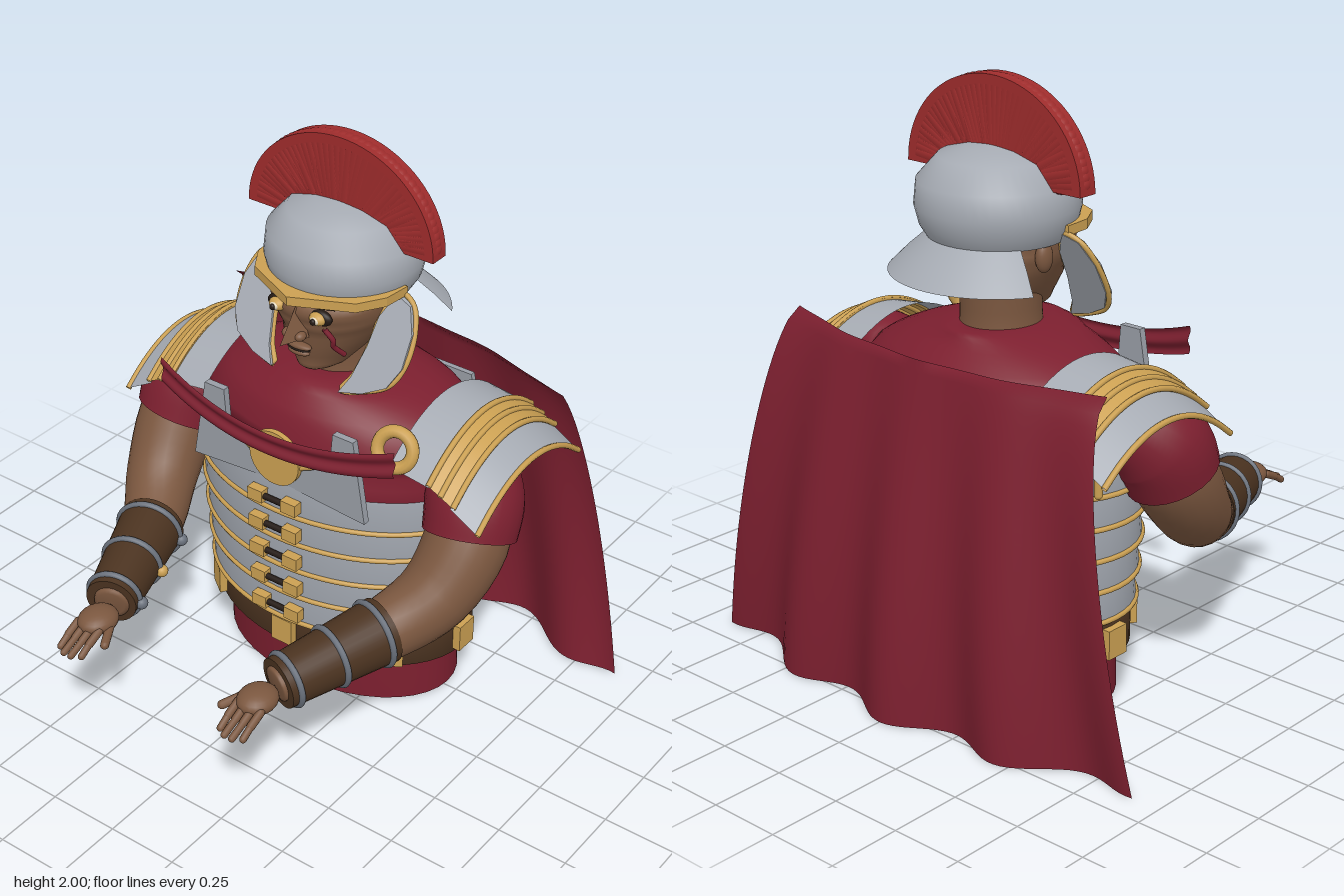
import * as THREE from 'three';
import { ParametricGeometry } from 'three/addons/geometries/ParametricGeometry.js';

const mat = (name, color, side = THREE.FrontSide) => {
  const m = new THREE.MeshStandardMaterial({ color, side });
  m.name = name;
  return m;
};
const V = (x, y, z) => new THREE.Vector3(x, y, z);

export function createModel() {
  const D = THREE.DoubleSide;
  const silver = mat('silver', 0xa6abb3, D), armour = mat('armourSteel', 0x989da5, D), gold = mat('gold', 0xcba052, D);
  const cloth = mat('cloth', 0x7c1f2f, D), skin = mat('skin', 0x7b573f, D), leather = mat('leather', 0x4b3320, D);
  const steel = mat('steel', 0x6a717c), plume = mat('plume', 0x9e2c2c), dark = mat('dark', 0x241a15), cream = mat('cream', 0xe0d5bd);
  const root = new THREE.Group();
  root.name = 'soldierBust';

  const add = (name, geo, m, parent = root) => {
    const mesh = new THREE.Mesh(geo, m);
    mesh.name = name;
    parent.add(mesh);
    return mesh;
  };
  const box = (name, w, h, d, x, y, z, m, p) => {
    const b = add(name, new THREE.BoxGeometry(w, h, d), m, p);
    b.position.set(x, y, z);
    return b;
  };
  const ball = (name, rx, ry, rz, x, y, z, m, p) => {
    const b = add(name, new THREE.SphereGeometry(1, 20, 14), m, p);
    b.scale.set(rx, ry, rz);
    b.position.set(x, y, z);
    return b;
  };
  const rod = (name, a, b, r, m, p) => {
    const dir = b.clone().sub(a);
    const c = add(name, new THREE.CapsuleGeometry(r, dir.length(), 4, 10), m, p);
    c.position.copy(a).add(b).multiplyScalar(0.5);
    c.quaternion.setFromUnitVectors(V(0, 1, 0), dir.normalize());
    return c;
  };
  const tube = (name, pts, r, m, p, closed = false) =>
    add(name, new THREE.TubeGeometry(new THREE.CatmullRomCurve3(pts, closed), closed ? 64 : 24, r, 8, closed), m, p);
  const sheet = (name, nu, nv, fn, m, p) => add(name, new ParametricGeometry(fn, nu, nv), m, p);
  // Elliptical rings [y, rx, rz, cz] joined into a smooth skin
  const rings = (name, list, m) => {
    const a = new THREE.CatmullRomCurve3(list.map(r => V(r[0], r[1], r[2])), false, 'catmullrom', 0.4);
    const b = new THREE.CatmullRomCurve3(list.map(r => V(r[3], 0, 0)));
    return sheet(name, 40, (list.length - 1) * 3, (u, v, t) => {
      const s = a.getPoint(v), c = b.getPoint(v).x, k = u * Math.PI * 2;
      t.set(s.y * Math.cos(k), s.x, c - s.z * Math.sin(k));
    }, m);
  };
  // Limb of varying radius along points [x, y, z, r]
  const limb = (name, list, m, p) => {
    const path = new THREE.CatmullRomCurve3(list.map(q => V(q[0], q[1], q[2])));
    const rad = new THREE.CatmullRomCurve3(list.map(q => V(q[3], 0, 0)));
    return sheet(name, 24, 24, (u, v, t) => {
      const d = path.getTangent(v).normalize();
      const n = V(1, 0, 0).addScaledVector(d, -d.x).normalize();
      const b = d.clone().cross(n), k = u * Math.PI * 2;
      t.copy(path.getPoint(v)).addScaledVector(n, Math.cos(k) * rad.getPoint(v).x)
        .addScaledVector(b, Math.sin(k) * rad.getPoint(v).x);
    }, m, p);
  };
  const lathe = (name, pts, rx, rz, cz, m, start = 0, len = Math.PI * 2) => {
    const g = new THREE.LatheGeometry(pts.map(q => new THREE.Vector2(q[0], q[1])), 48, start, len);
    g.scale(rx, 1, rz).translate(0, 0, cz);
    return add(name, g, m);
  };
  const plate = (name, pts, depth, m, p) => {
    const s = new THREE.Shape(pts.map(q => new THREE.Vector2(q[0], q[1])));
    return add(name, new THREE.ExtrudeGeometry(s, { depth, bevelEnabled: false }), m, p);
  };
  const oval = (y, rx, rz, cz) => Array.from({ length: 24 }, (_, i) =>
    V(rx * Math.cos(i * Math.PI / 12), y, cz + rz * Math.sin(i * Math.PI / 12)));

  // Tunic and neck
  rings('tunic', [[0, 0.45, 0.3, -0.27], [0.3, 0.44, 0.31, -0.265], [0.6, 0.47, 0.34, -0.26], [0.87, 0.52, 0.36, -0.26],
    [1.0, 0.52, 0.35, -0.26], [1.1, 0.45, 0.31, -0.25], [1.17, 0.31, 0.25, -0.24], [1.21, 0.14, 0.2, -0.24],
    [1.2, 0.05, 0.05, -0.24]], cloth);
  rings('neck', [[1.1, 0.15, 0.15, -0.24], [1.22, 0.13, 0.135, -0.24], [1.34, 0.13, 0.14, -0.24]], skin);

  // Banded body armour with rims and buckles
  for (let i = 0; i < 5; i++) {
    const y0 = 0.32 + i * 0.1125, top = y0 + 0.108, rx = 0.5 + i * 0.011, rz = 0.37 + i * 0.004;
    lathe('armourBand', [[1, y0], [0.98, top], [0.94, top]], rx, rz, -0.26, armour);
    tube('bandRim', oval(y0, rx, rz, -0.26), 0.009, gold, root, true);
    const y = y0 + 0.047, z = -0.26 + rz;
    rod('buckleBar', V(-0.06, y, z + 0.012), V(0.06, y, z + 0.012), 0.011, dark);
    for (const s of [-1, 1]) box('buckle', 0.06, 0.045, 0.034, s * 0.068, y, z + 0.01, gold);
  }

  // Belt with square plates
  lathe('belt', [[0.92, 0.18], [1, 0.18], [1, 0.31], [0.92, 0.31]], 0.495, 0.345, -0.27, leather);
  for (const a of [0, 0.82, 1.57, 2.32, Math.PI, -2.32, -1.57, -0.82]) {
    const b = box('beltPlate', 0.085, 0.1, 0.035, 0.502 * Math.sin(a), 0.245, -0.27 + 0.352 * Math.cos(a), gold);
    b.rotation.y = Math.atan2(Math.sin(a) / 0.5, Math.cos(a) / 0.35);
  }

  // Pendant and scarf across the chest
  const pendant = add('pendant', new THREE.CylinderGeometry(0.1, 0.1, 0.02, 32), gold);
  pendant.rotation.x = Math.PI / 2;
  pendant.position.set(0, 0.98, 0.125);
  sheet('scarf', 36, 16, (u, v, t) => {
    const k = 2 * u - 1, lo = 1.02 + 0.075 * k * k, hi = 1.1 + 0.09 * k * k;
    t.set(0.47 * k, lo + (hi - lo) * v, 0.13 + 0.045 * (1 - k * k) + 0.006 * Math.sin(v * Math.PI * 3));
  }, cloth);
  const brooch = add('brooch', new THREE.TorusGeometry(0.06, 0.022, 10, 28), gold);
  brooch.position.set(0.41, 1.13, 0.04);
  brooch.rotation.set(-0.35, 0.2, 0);

  // Cape bulging backwards with deepening folds
  sheet('cape', 72, 30, (u, v, t) => {
    const k = 2 * u - 1, d = 1 - v, x = k * (0.66 + 0.24 * d);
    const fold = 0.045 * (0.08 + 0.92 * d) * Math.cos(k * 0.9 * Math.PI * 2 / 0.46);
    const wrap = 0.13 + 0.035 * d - 0.07 * Math.sin(Math.PI * Math.sqrt(d));
    t.set(x, 1.17 * v, -0.628 - 0.152 * Math.sin(d * Math.PI / 2) + wrap * k * k - fold);
  }, cloth);

  // Parts of one side, mirrored to the other
  for (const s of [1, -1]) {
    const g = new THREE.Group();
    g.name = s > 0 ? 'leftSide' : 'rightSide';
    g.scale.x = s;
    root.add(g);

    // Breast and back plates
    plate('breastPlate', [[0.01, 0.88], [0.35, 0.855], [0.3, 1.15], [0.22, 1.15], [0.21, 1.025], [0.01, 0.93]], 0.025, armour, g)
      .position.z = 0.09;
    plate('backPlate', [[0.01, 0.86], [0.32, 0.86], [0.28, 1.04], [0.01, 1.04]], 0.02, armour, g).position.z = -0.62;
    rod('neckTrim', V(0.215, 1.03, 0.118), V(0.05, 0.952, 0.118), 0.01, gold, g);
    rod('sideHinge', V(0.535, 0.79, -0.39), V(0.535, 0.96, -0.39), 0.014, gold, g);

    // Arched shoulder strips with raised ribs
    const arch = w => -0.13 * w * w;
    const along = w => -0.28 - 0.305 * w;
    const strip = (name, x0, y0, x1, y1, m) => sheet(name, 3, 24, (u, v, t) => {
      const w = 2 * v - 1;
      t.set(x0 + (x1 - x0) * u, y0 + (y1 - y0) * u + arch(w), along(w));
    }, m, g);
    strip('innerShoulderStrip', 0.38, 1.175, 0.53, 1.155, silver);
    strip('middleShoulderStrip', 0.52, 1.165, 0.625, 1.115, gold);
    strip('outerShoulderStrip', 0.615, 1.11, 0.72, 1.05, silver);
    for (const [x, y] of [[0.53, 1.16], [0.575, 1.138], [0.625, 1.115], [0.72, 1.05]])
      tube('shoulderRib', Array.from({ length: 9 }, (_, i) => V(x, y + arch(i / 4 - 1), along(i / 4 - 1))), 0.01, gold, g);

    // Sleeve and arm
    limb('sleeve', [[0.46, 1.0, -0.26, 0.08], [0.54, 0.97, -0.22, 0.14], [0.59, 0.9, -0.16, 0.163], [0.605, 0.8, -0.115, 0.156]], cloth, g);
    limb('arm', [[0.58, 0.95, -0.2, 0.12], [0.605, 0.78, -0.1, 0.14], [0.575, 0.63, 0.03, 0.125], [0.5, 0.55, 0.17, 0.108],
      [0.43, 0.525, 0.36, 0.085], [0.345, 0.497, 0.575, 0.06], [0.343, 0.496, 0.58, 0.001]], skin, g);

    // Bracer with bands and inner studs
    const a = V(0.485, 0.543, 0.195), b = V(0.35, 0.5, 0.57), axis = b.clone().sub(a).normalize();
    const bracer = new THREE.Group();
    bracer.name = 'bracer';
    bracer.position.copy(a).add(b).multiplyScalar(0.5);
    bracer.quaternion.setFromUnitVectors(V(0, 1, 0), axis);
    g.add(bracer);
    const len = a.distanceTo(b);
    add('bracerLeather', new THREE.CylinderGeometry(0.088, 0.113, len, 28), leather, bracer);
    [-0.42, 0, 0.42].forEach((f, i) => {
      const r = 0.1005 - f * 0.025;
      const ring = add('bracerBand', new THREE.TorusGeometry(r, 0.011, 8, 32), steel, bracer);
      ring.rotation.x = Math.PI / 2;
      ring.position.y = f * len;
      ball('bracerStud', 0.022, 0.022, 0.022, -r - 0.004, f * len, -0.02, i === 1 ? gold : steel, bracer);
    });

    // Hand
    ball('palm', 0.065, 0.04, 0.075, 0.333, 0.487, 0.655, skin, g);
    for (let i = 0; i < 4; i++) {
      const x = 0.29 + i * 0.03, end = i === 0 || i === 3 ? 0.79 : 0.808;
      rod('finger', V(x, 0.485, 0.7), V(x, 0.462, 0.75), 0.014, skin, g);
      rod('fingerTip', V(x, 0.462, 0.75), V(x, 0.437, end), 0.012, skin, g);
    }
    rod('thumb', V(0.285, 0.48, 0.65), V(0.245, 0.465, 0.725), 0.015, skin, g);

    // Eye, brow and ear
    ball('eyeSocket', 0.046, 0.028, 0.02, 0.08, 1.475, -0.006, dark, g);
    ball('eyelid', 0.031, 0.023, 0.03, 0.08, 1.475, 0.002, gold, g);
    ball('eyeball', 0.02, 0.016, 0.026, 0.08, 1.475, 0.012, cream, g);
    ball('pupil', 0.01, 0.011, 0.008, 0.08, 1.475, 0.034, dark, g);
    rod('eyebrow', V(0.035, 1.508, 0.006), V(0.125, 1.514, -0.02), 0.007, dark, g);
    ball('ear', 0.025, 0.05, 0.032, 0.2, 1.45, -0.26, skin, g);

    // Cheek guard leaning back towards the top
    const cheek = [[0.24, 1.525], [0.3, 1.505], [0.335, 1.43], [0.335, 1.33], [0.3, 1.265], [0.22, 1.225], [0.135, 1.205],
      [0.165, 1.26], [0.19, 1.36], [0.2, 1.45]];
    const lean = y => -0.06 - (y - 1.21) * 0.53;
    const guard = plate('cheekGuard', cheek, 0.03, silver, g).geometry;
    const pos = guard.attributes.position;
    for (let i = 0; i < pos.count; i++) pos.setZ(i, pos.getZ(i) + lean(pos.getY(i)));
    guard.computeVertexNormals();
    tube('cheekGuardRim', cheek.map(q => V(q[0], q[1], lean(q[1]) + 0.012)), 0.009, gold, g, true);
  }

  // Head and face
  rings('head', [[1.235, 0.001, 0.001, -0.16], [1.24, 0.07, 0.12, -0.16], [1.28, 0.108, 0.165, -0.19], [1.35, 0.155, 0.195, -0.2],
    [1.43, 0.195, 0.21, -0.2], [1.5, 0.202, 0.21, -0.2], [1.58, 0.2, 0.21, -0.21]], skin);
  const nose = new THREE.ConeGeometry(0.042, 0.13, 4).toNonIndexed();
  const np = nose.attributes.position;
  for (let i = 0; i < np.count; i++) if (np.getY(i) < 0 && np.getZ(i) > 0.01) np.setZ(i, 0.1);
  nose.computeVertexNormals();
  add('nose', nose, skin).position.set(0, 1.455, 0.0);
  for (const s of [-1, 1]) ball('nostril', 0.018, 0.016, 0.022, s * 0.025, 1.4, 0.025, skin);
  ball('upperLip', 0.05, 0.012, 0.02, 0, 1.348, 0, skin);
  ball('mouthLine', 0.045, 0.004, 0.02, 0, 1.337, 0, dark);
  ball('lowerLip', 0.042, 0.013, 0.02, 0, 1.325, -0.002, skin);
  tube('scar', [V(0.095, 1.435, -0.008), V(0.12, 1.395, -0.022), V(0.115, 1.37, -0.03), V(0.13, 1.325, -0.07)], 0.009, cloth);

  // Helmet bowl, neck guard and visor
  lathe('helmetBowl', [[0.225, 1.49], [0.25, 1.53], [0.265, 1.59], [0.257, 1.67], [0.19, 1.745], [0.1, 1.77], [0.001, 1.78]], 1, 1, -0.25, silver);
  lathe('neckGuard', [[0.35, 1.38], [0.29, 1.44], [0.22, 1.5]], 1, 1, -0.25, silver, Math.PI - 1.05, 2.1);
  const visor = plate('visor', [[-0.265, 0.22], [-0.255, 0.12], [-0.2, 0.03], [0, -0.065], [0.2, 0.03], [0.255, 0.12], [0.265, 0.22]], 0.032, gold);
  visor.rotation.x = -Math.PI / 2;
  visor.position.y = 1.522;

  // Crest: a solid fan edged with fine bristle tufts
  const core = [];
  for (let i = 0; i <= 40; i++) core.push([0.363 * Math.cos(i * Math.PI / 40), 1.67 + 0.327 * Math.sin(i * Math.PI / 40)]);
  plate('crestCore', core, 0.07, plume).position.z = -0.28;
  for (let i = 0; i < 44; i++) {
    const k = 0.1 + (Math.PI - 0.2) * i / 43, c = Math.cos(k), n = Math.sin(k);
    rod('crestTuft', V(0.16 * c, 1.672 + 0.09 * n, -0.245), V(0.329 * c, 1.672 + 0.291 * n, -0.245), 0.037, plume);
  }
  return root;
}
